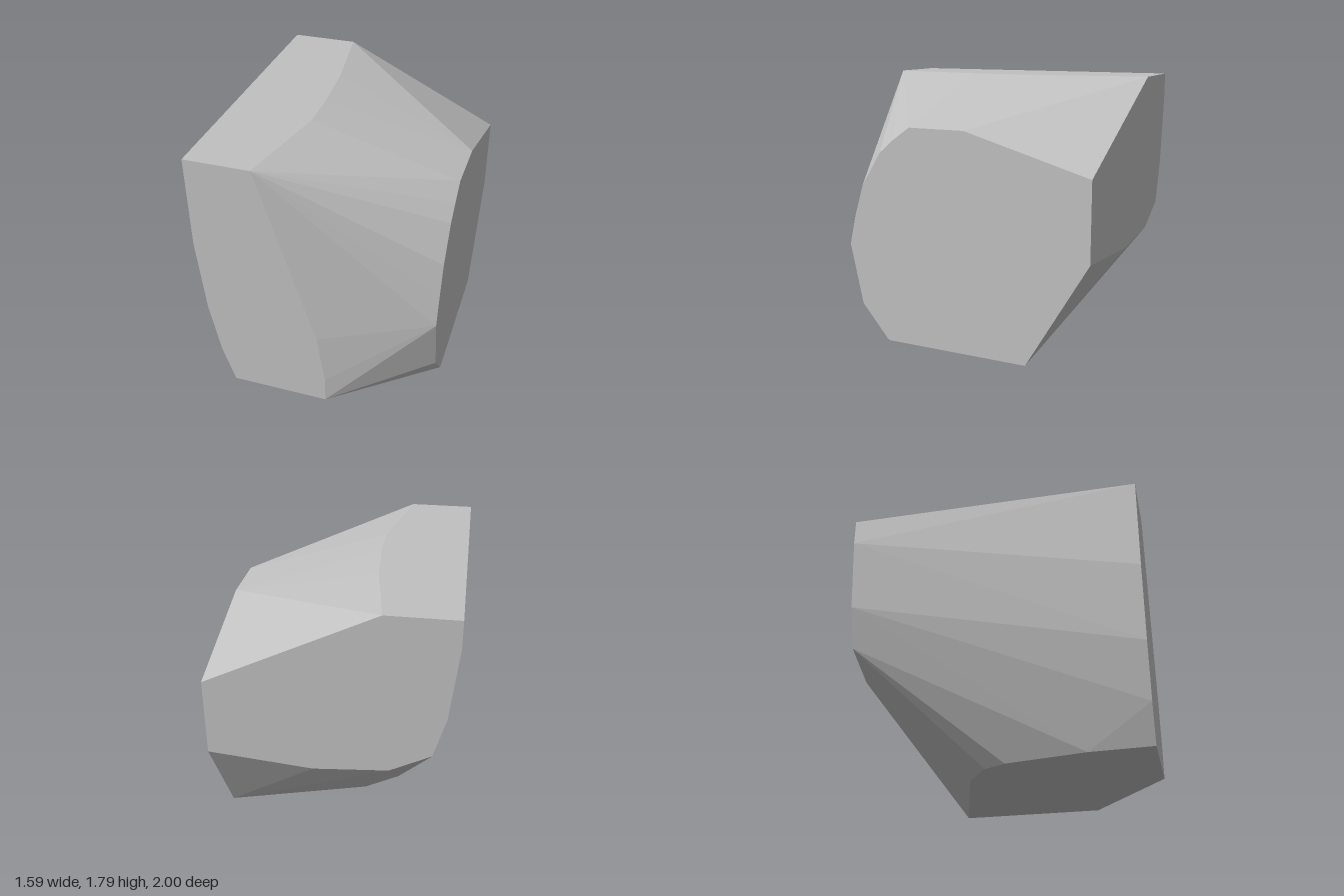
import * as THREE from 'three';
import { ConvexGeometry } from 'three/addons/geometries/ConvexGeometry.js';

export function createModel() {
  const group = new THREE.Group();
  group.name = 'rock';
  const stone = new THREE.MeshStandardMaterial({ color: 0xc0c0c0, flatShading: true });
  stone.name = 'grey stone';

  const v = (x, y, z) => new THREE.Vector3(x, y, z);
  const X = 0.795, TOP = 1.79;

  // Outlines of the flat cut faces; the hull closes the facets between them
  const frontCut = [[-0.33, TOP], [-0.777, TOP], [-0.775, 1.16], [-0.73, 0.64], [-0.66, 0.26],
    [-0.578, 0], [0.1, 0], [0.1, 0.19], [0.05, 0.55], [0.02, 0.64]].map(([x, y]) => v(x, y, 1));

  const backCut = [[-0.33, TOP], [-X, TOP], [-X, 1.61], [-0.74, 1.12], [-0.66, 0.84],
    [-0.39, 0.7], [0.1, 0.66], [X, 0.72], [X, 1.245]].map(([x, y]) => v(x, y, -1));

  const sideCut = [[1.49, 0.26], [1.49, -0.14], [0, -0.575], [0, 0.45], [0.01, 0.465], [0.24, 0.66],
    [0.66, 0.75], [0.87, 0.7], [1.08, 0.635], [1.31, 0.49], [1.4, 0.385]].map(([y, z]) => v(X, y, z));

  const baseCut = [[-0.56, 0.58], [-0.46, 0.03], [-0.38, -0.125], [-0.15, -0.29]].map(([x, z]) => v(x, 0, z));

  const topCut = [[-0.2, 0.3], [-0.205, 0], [-0.235, -0.4]].map(([x, z]) => v(x, TOP, z));

  const boulder = new THREE.Mesh(
    new ConvexGeometry([...frontCut, ...backCut, ...sideCut, ...baseCut, ...topCut]), stone);
  boulder.name = 'boulder';
  group.add(boulder);
  return group;
}
